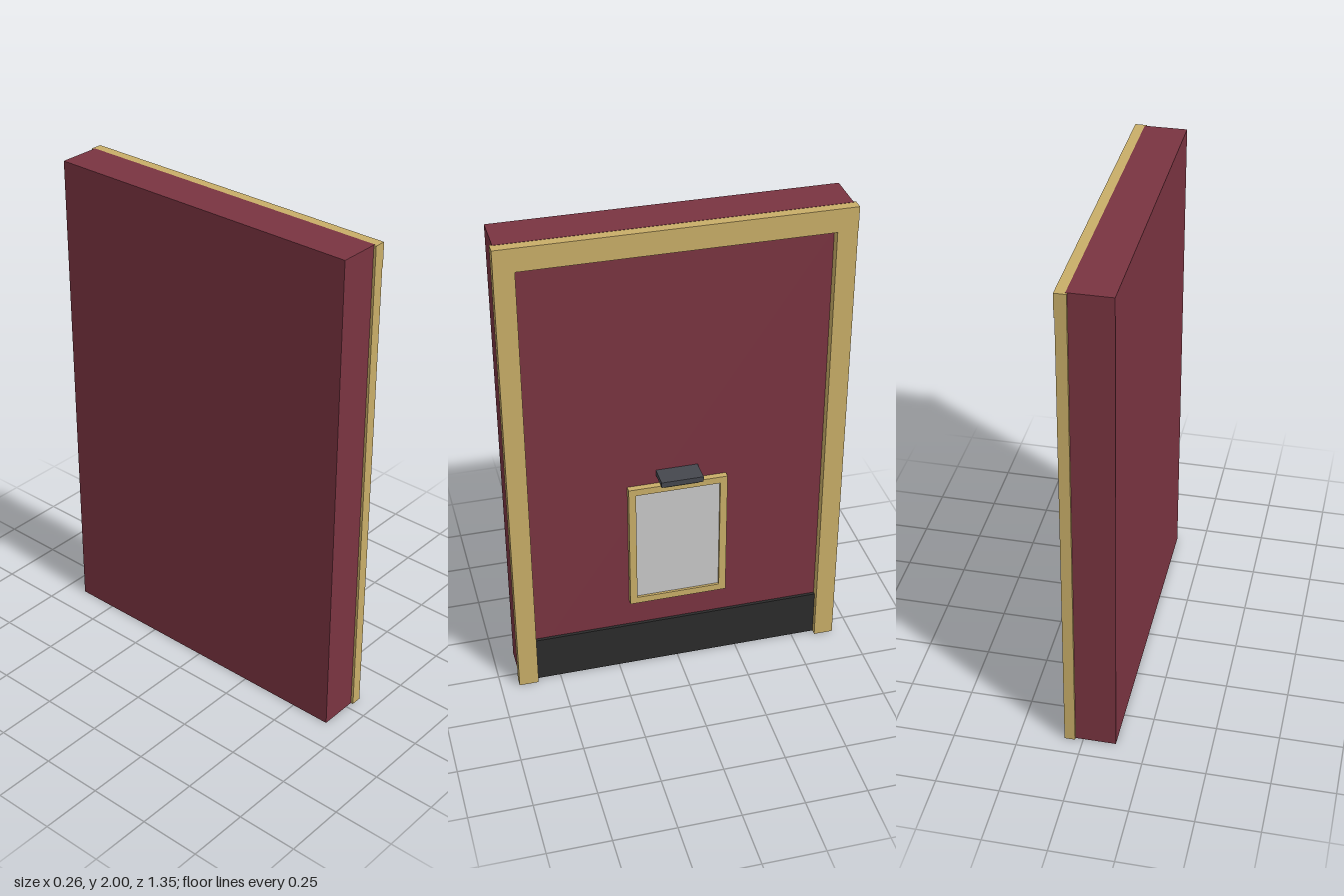
import * as THREE from 'three';

const paint = (name, color) => {
  const m = new THREE.MeshStandardMaterial({ color });
  m.name = name;
  return m;
};

export function createModel() {
  const maroon = paint('maroon wall', 0x7a3441);
  const gold = paint('gold trim', 0xc9ae68);
  const black = paint('black skirting', 0x2b2b2b);
  const grey = paint('pale grey panel', 0xc9c9c9);
  const metal = paint('dark metal', 0x45474e);
  const glow = paint('warm light', 0xd8cc7c);

  const model = new THREE.Group();
  model.name = 'wallPanel';

  // Box given by its limits on each axis
  const box = (name, material, [x0, x1], [y0, y1], [z0, z1], parent = model) => {
    const mesh = new THREE.Mesh(new THREE.BoxGeometry(x1 - x0, y1 - y0, z1 - z0), material);
    mesh.position.set((x0 + x1) / 2, (y0 + y1) / 2, (z0 + z1) / 2);
    mesh.name = name;
    parent.add(mesh);
    return mesh;
  };

  const face = 0.037; // front plane of the wall

  // Wall slab and skirting
  box('wall', maroon, [-0.13, face], [0, 2], [-0.665, 0.665]);
  box('skirting', black, [face - 0.005, 0.05], [0.001, 0.2], [-0.598, 0.598]);

  // Door-like surround: two posts and a header
  box('leftPost', gold, [0.031, 0.073], [0, 1.905], [-0.675, -0.596]);
  box('rightPost', gold, [0.031, 0.073], [0, 1.905], [0.596, 0.675]);
  box('header', gold, [0.031, 0.076], [1.905, 1.999], [-0.675, 0.675]);

  // Picture frame: a rectangle with a hole, turned to face +x
  const rect = (path, w, h) => path.moveTo(-w, -h).lineTo(w, -h).lineTo(w, h).lineTo(-w, h).closePath();
  const outline = rect(new THREE.Shape(), 0.2, 0.282);
  outline.holes.push(rect(new THREE.Path(), 0.171, 0.253));
  const frame = new THREE.Mesh(
    new THREE.ExtrudeGeometry(outline, { depth: 0.026, bevelEnabled: false }), gold);
  frame.name = 'pictureFrame';
  frame.rotation.y = Math.PI / 2;
  frame.position.set(face, 0.603, 0);
  model.add(frame);
  box('picture', grey, [face, 0.053], [0.348, 0.858], [-0.173, 0.173]);

  // Lamp above the picture, with its light strip below
  const lamp = new THREE.Group();
  lamp.name = 'pictureLamp';
  box('lampHood', metal, [face, 0.127], [0.923, 0.946], [-0.084, 0.084], lamp);
  box('lampStrip', glow, [0.045, 0.117], [0.914, 0.923], [-0.07, 0.07], lamp);
  model.add(lamp);

  return model;
}
